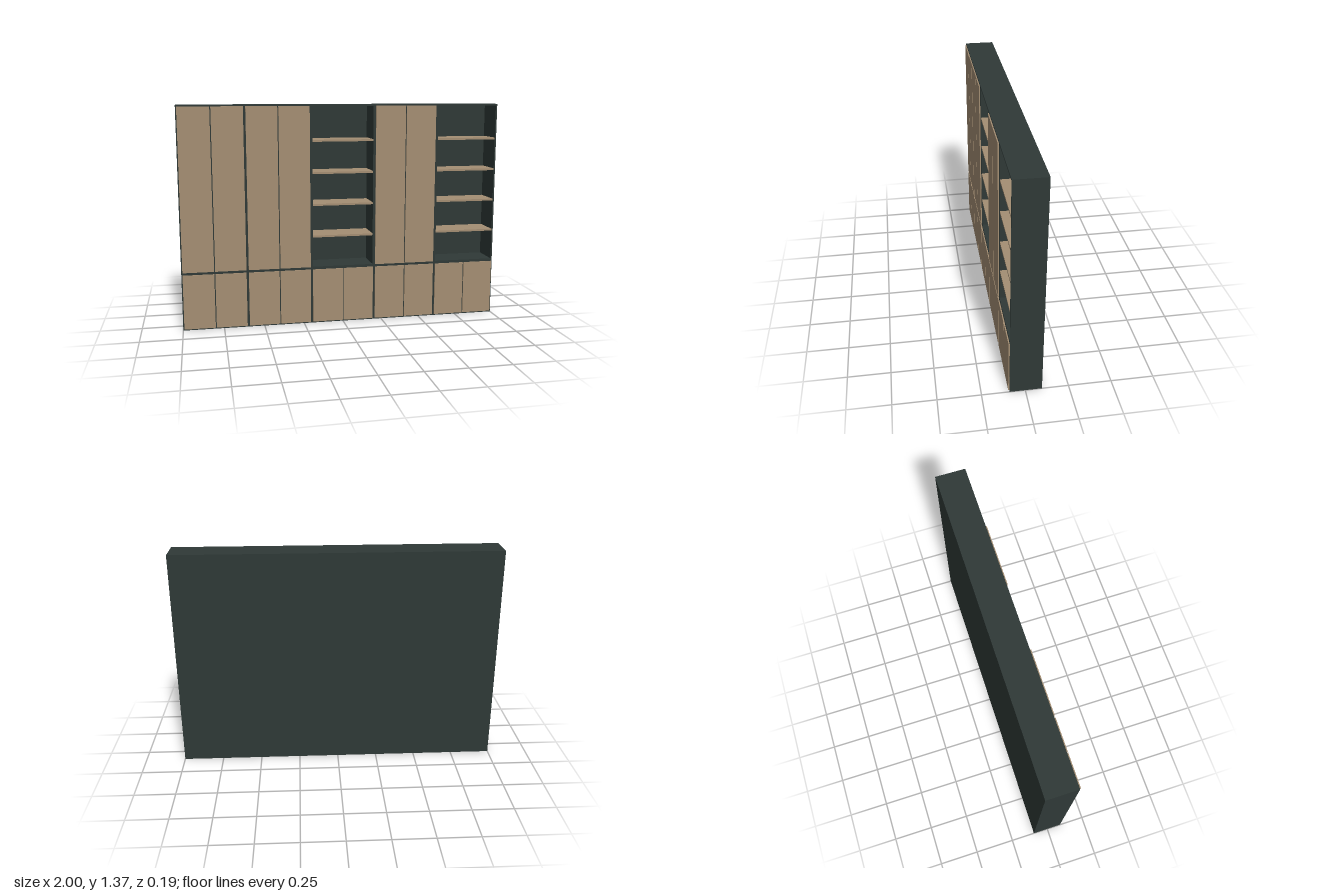
import * as THREE from 'three';

export function createModel() {
  const group = new THREE.Group();
  group.name = 'wallCabinet';
  const wood = new THREE.MeshStandardMaterial({ color: 0xa48e73 });
  wood.name = 'oak';
  const dark = new THREE.MeshStandardMaterial({ color: 0x2f3937 });
  dark.name = 'charcoal';

  // Box given by its lower and upper corners
  const box = (name, mat, x0, x1, y0, y1, z0, z1) => {
    const mesh = new THREE.Mesh(new THREE.BoxGeometry(x1 - x0, y1 - y0, z1 - z0), mat);
    mesh.position.set((x0 + x1) / 2, (y0 + y1) / 2, (z0 + z1) / 2);
    mesh.name = name;
    group.add(mesh);
  };

  const H = 1.37, back = -0.096, front = 0.09, face = 0.097;
  const t = 0.009, mid = 0.355, bay = 0.4;
  const inner = back + 0.006;

  // Carcass shell
  box('backPanel', dark, -1, 1, 0, H, back, inner);
  box('leftSide', dark, 1 - t, 1, 0, H, inner, front);
  box('rightSide', dark, -1, -1 + t, 0, H, inner, front);
  box('topPanel', dark, -1 + t, 1 - t, H - t, H, inner, front);
  box('bottomPanel', dark, -1 + t, 1 - t, 0, t, inner, front);

  // Uprights between bays
  for (let i = 1; i < 5; i++) {
    const x = -1 + i * bay;
    box('divider', dark, x - t, x + t, t, H - t, inner, front);
  }

  const openBays = [2, 4];
  for (let i = 0; i < 5; i++) {
    const x0 = -1 + i * bay, x1 = x0 + bay, xm = x0 + bay / 2;
    const l = x0 + t, r = x1 - t;
    box('middlePanel', dark, l, r, mid - t, mid + t, inner, front);

    // Pairs of doors, upper ones only on closed bays
    const rows = [['lowerDoor', 0.008, mid - 0.008]];
    if (!openBays.includes(i)) rows.push(['upperDoor', mid + 0.008, H - 0.008]);
    for (const [name, y0, y1] of rows) {
      box(name, wood, x0 + 0.007, xm - 0.003, y0, y1, front, face);
      box(name, wood, xm + 0.003, x1 - 0.007, y0, y1, front, face);
    }

    // Shelves in the open bays
    if (openBays.includes(i)) {
      for (const y of [0.556, 0.755, 0.953, 1.151]) {
        box('shelf', wood, l, r, y - 0.006, y + 0.006, inner, front - 0.002);
      }
    }
  }
  return group;
}
